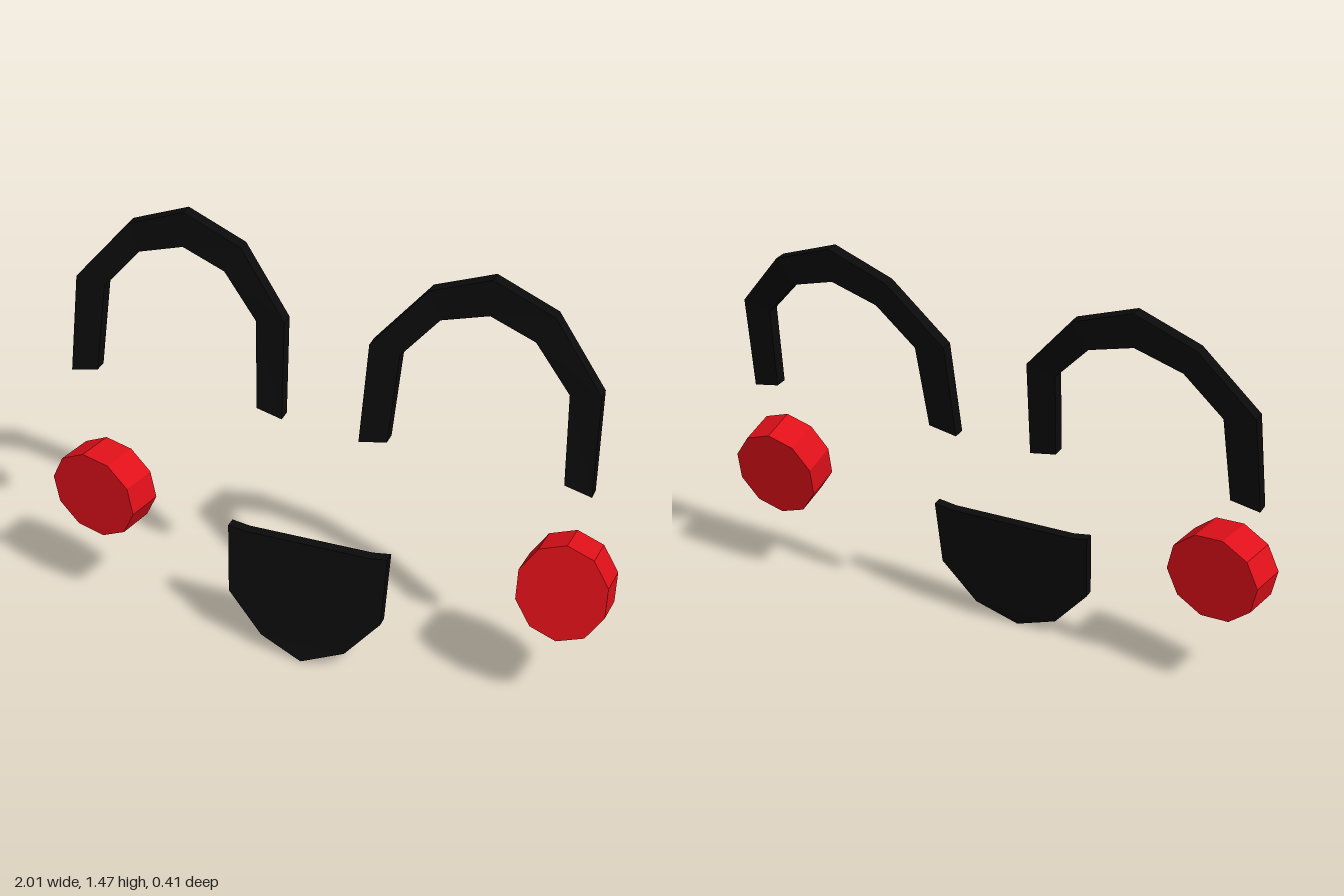
import * as THREE from 'three';

// Slab swept through sections; each section is a row of [x, y, z] front points, backed at a fixed depth
function slab(sections, depth) {
  const n = sections[0].length, m = 2 * n, tris = [];
  const loops = sections.map(s => [
    ...s,
    ...s.map(([x, y, z]) => [x, y, z - depth]).reverse(),
  ]);
  const quad = (a, b, c, d) => tris.push(...a, ...b, ...c, ...a, ...c, ...d);
  for (let i = 0; i < loops.length - 1; i++) {
    const p = loops[i], q = loops[i + 1];
    for (let j = 0; j < m; j++) {
      const k = (j + 1) % m;
      quad(p[j], q[j], q[k], p[k]);
    }
  }
  const first = loops[0], last = loops[loops.length - 1];
  for (let k = 0; k < n - 1; k++) {
    quad(first[k], first[k + 1], first[m - 2 - k], first[m - 1 - k]);
    quad(last[m - 1 - k], last[m - 2 - k], last[k + 1], last[k]);
  }
  const geo = new THREE.BufferGeometry();
  geo.setAttribute('position', new THREE.Float32BufferAttribute(tris, 3));
  geo.computeVertexNormals();
  return geo;
}

export function createModel() {
  const model = new THREE.Group();
  const black = new THREE.MeshStandardMaterial({ color: 0x0b0b0b, flatShading: true });
  const red = new THREE.MeshStandardMaterial({ color: 0xe0101a, flatShading: true });
  const add = (name, geo, mat, x = 0, y = 0, z = 0) => {
    const mesh = new THREE.Mesh(geo, mat);
    mesh.name = name;
    mesh.position.set(x, y, z);
    model.add(mesh);
    return mesh;
  };

  // Closed smiling eyes: one bent arch used twice, inner then outer edge per section
  const arch = slab([
    [[-0.90, 0.855, -0.06], [-1.00, 0.835, -0.06]],
    [[-0.88, 1.16, -0.115], [-0.985, 1.18, -0.115]],
    [[-0.755, 1.30, -0.145], [-0.80, 1.39, -0.16]],
    [[-0.59, 1.35, -0.14], [-0.59, 1.47, -0.155]],
    [[-0.43, 1.30, -0.115], [-0.375, 1.39, -0.13]],
    [[-0.30, 1.16, -0.07], [-0.195, 1.18, -0.06]],
    [[-0.285, 0.855, -0.02], [-0.19, 0.835, -0.012]],
  ], 0.047);
  add('rightEye', arch, black);
  add('leftEye', arch, black, 1.093, -0.013, 0.07);

  // Open mouth: rows from the top lip with raised corners down to the point
  const row = (xs, ys, z) => xs.map((x, i) => [x, ys[i], z]);
  const mouth = slab([
    row([-0.335, -0.27, 0.18, 0.245], [0.46, 0.45, 0.45, 0.46], 0.133),
    row([-0.325, -0.2, 0.11, 0.235], [0.21, 0.21, 0.21, 0.21], 0.168),
    row([-0.2, -0.1, 0.01, 0.11], [0.063, 0.063, 0.063, 0.063], 0.186),
    row([-0.046, -0.0455, -0.0445, -0.044], [0, 0, 0, 0], 0.204),
  ], 0.037);
  add('mouth', mouth, black);

  // Cheeks: ten-sided discs tilted upwards, the right one turned on its side
  const cheek = new THREE.CylinderGeometry(1, 1, 0.137, 10)
    .rotateX(Math.PI / 2)
    .scale(0.158, 0.173, 1)
    .rotateX(-0.19);
  add('leftCheek', cheek, red, 0.85, 0.483, 0.09);
  add('rightCheek', cheek, red, -0.825, 0.476, 0.087).rotation.z = 1.45;

  return model;
}
